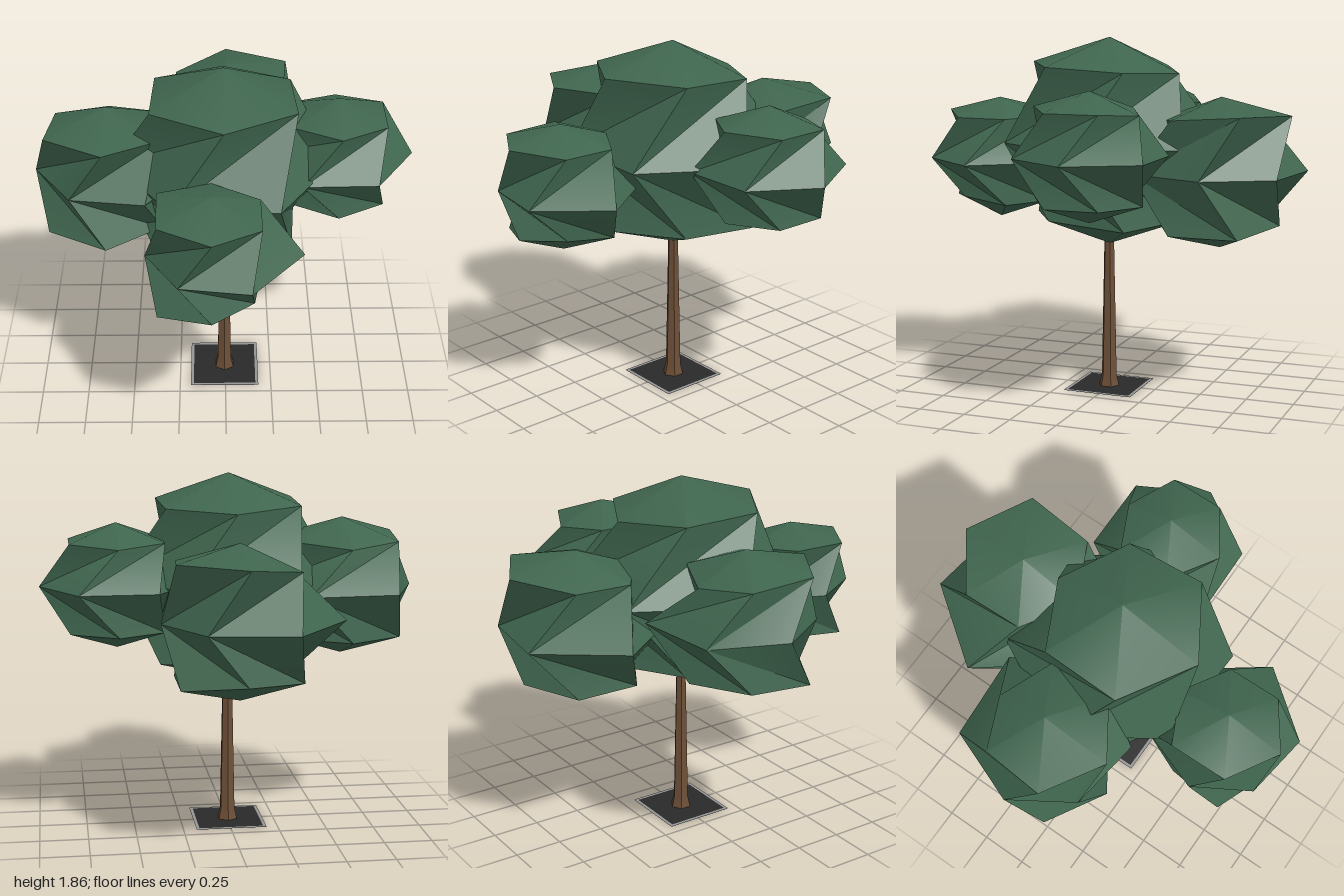
import * as THREE from 'three';
import { toCreasedNormals } from 'three/addons/utils/BufferGeometryUtils.js';

const SIDES = 6;

// Faceted leaf clump: two poles, an equator ring and two rings twisted against it.
// upper / middle / lower scale each ring corner in or out, starting from +x towards +z.
function clumpGeometry(radius, height, upper, middle, lower) {
  const pts = [0, height, 0];
  const ring = (factors, latitude, turn) => factors.forEach((f, i) => {
    const a = (i + turn) * Math.PI * 2 / SIDES;
    const r = f * radius * Math.cos(latitude);
    pts.push(r * Math.cos(a), f * height * Math.sin(latitude), r * Math.sin(a));
  });
  ring(upper, Math.PI / 4, 0.5);
  ring(middle, 0, 0);
  ring(lower, -Math.PI / 4, 0.5);
  pts.push(0, -height, 0);

  // Each twisted quad is folded inward along its long diagonal
  const index = [];
  const up = i => 1 + i % SIDES;
  const mid = i => 1 + SIDES + i % SIDES;
  const low = i => 1 + 2 * SIDES + i % SIDES;
  const bottom = 1 + 3 * SIDES;
  for (let i = 0; i < SIDES; i++) {
    index.push(0, up(i + 1), up(i));
    index.push(up(i), up(i + 1), mid(i + 2));
    index.push(up(i), mid(i + 2), mid(i + 1));
    index.push(low(i), mid(i + 2), low(i + 1));
    index.push(low(i), mid(i + 1), mid(i + 2));
    index.push(bottom, low(i), low(i + 1));
  }
  const geo = new THREE.BufferGeometry();
  geo.setAttribute('position', new THREE.Float32BufferAttribute(pts, 3));
  geo.setIndex(index);
  return toCreasedNormals(geo, Math.PI / 6);
}

const CLUMPS = [
  { name: 'centreFoliage', at: [-0.01, 1.315, 0.01], radius: 0.57, height: 0.542,
    upper: [1.04, 1.07, 1.04, 1, 0.94, 0.98],
    middle: [1, 0.97, 0.93, 1, 1.04, 1],
    lower: [1, 1.02, 1.02, 1.02, 1.03, 1.08] },
  { name: 'leftFoliage', at: [0.58, 1.3, -0.11], radius: 0.39, height: 0.32,
    upper: [1, 1.06, 1, 1, 0.92, 1],
    middle: [1, 0.97, 1, 1, 1, 1.02],
    lower: [1, 1, 1, 1, 1, 1] },
  { name: 'rightFoliage', at: [-0.605, 1.265, -0.02], radius: 0.46, height: 0.36,
    upper: [1.02, 1.09, 1.06, 0.95, 0.85, 0.97],
    middle: [1, 0.89, 0.76, 0.8, 0.96, 1.05],
    lower: [1, 1.07, 1.07, 1, 1, 1] },
  { name: 'frontFoliage', at: [-0.07, 1.2, 0.67], radius: 0.39, height: 0.325,
    upper: [0.99, 1.09, 1.07, 1.1, 1, 0.98],
    middle: [1.14, 0.96, 0.81, 0.82, 1, 1],
    lower: [0.86, 0.95, 1.1, 1, 1, 1] },
  { name: 'backFoliage', at: [0.01, 1.18, -0.6], radius: 0.47, height: 0.385,
    upper: [1.04, 0.97, 0.92, 0.96, 1.1, 1.14],
    middle: [0.82, 0.98, 0.96, 1.11, 0.98, 0.84],
    lower: [1.07, 1, 1, 1, 0.94, 1.07] },
];

export function createModel() {
  const leaf = new THREE.MeshStandardMaterial({ color: 0x3f654e });
  leaf.name = 'leaf green';
  const bark = new THREE.MeshStandardMaterial({ color: 0x6b4e36 });
  bark.name = 'bark brown';
  const soil = new THREE.MeshStandardMaterial({ color: 0x292929, side: THREE.DoubleSide });
  soil.name = 'dark soil';
  const stone = new THREE.MeshStandardMaterial({ color: 0x949494 });
  stone.name = 'kerb grey';

  const tree = new THREE.Group();
  tree.name = 'tree';
  const add = (name, geometry, material, parent) => {
    const mesh = new THREE.Mesh(geometry, material);
    mesh.name = name;
    parent.add(mesh);
    return mesh;
  };
  const addGroup = name => {
    const group = new THREE.Group();
    group.name = name;
    tree.add(group);
    return group;
  };

  // Canopy of five clumps
  const canopy = addGroup('canopy');
  for (const c of CLUMPS) {
    const geo = clumpGeometry(c.radius, c.height, c.upper, c.middle, c.lower);
    add(c.name, geo, leaf, canopy).position.set(...c.at);
  }

  // Tapered six-sided trunk with a flared foot, a corner facing the front
  const base = addGroup('base');
  base.position.set(-0.005, 0, 0.012);
  const profile = [[0.056, 0.001], [0.042, 0.06], [0.026, 0.85]]
    .map(([r, y]) => new THREE.Vector2(r, y));
  add('trunk', toCreasedNormals(new THREE.LatheGeometry(profile, 6), 0.4), bark, base);

  // Square planting bed with a thin kerb
  const half = 0.186;
  const inner = 0.17;
  add('plantingBed', new THREE.PlaneGeometry(half * 2, half * 2).rotateX(-Math.PI / 2), soil, base);
  const square = (Base, s) => new Base(
    [[-s, -s], [s, -s], [s, s], [-s, s]].map(([x, y]) => new THREE.Vector2(x, y)));
  const frame = square(THREE.Shape, half);
  frame.holes.push(square(THREE.Path, inner));
  add('kerb', new THREE.ShapeGeometry(frame).rotateX(-Math.PI / 2), stone, base).position.y = 0.002;

  return tree;
}
